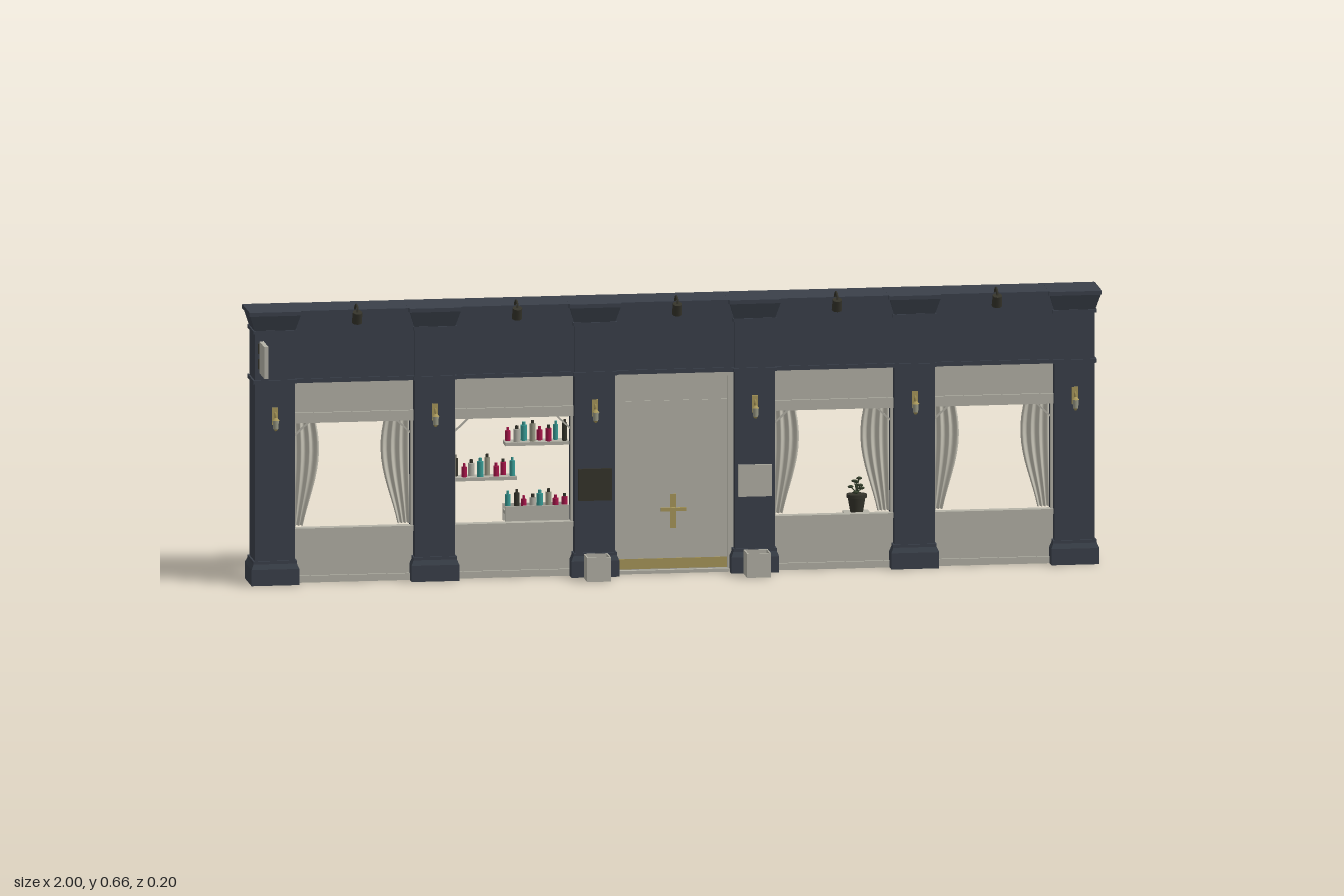
import * as THREE from 'three';

const mat = (name, color, side = THREE.FrontSide) => {
  const m = new THREE.MeshStandardMaterial({ color, side });
  m.name = name;
  return m;
};

export function createModel() {
  const navy = mat('navy paint', 0x3a404a, THREE.DoubleSide);
  const stone = mat('warm grey paint', 0xb4b2a7);
  const cloth = mat('curtain cloth', 0xc2bfb2, THREE.DoubleSide);
  const brass = mat('brass', 0xa8975a);
  const iron = mat('dark iron', 0x35342b);
  const glass = mat('lantern glass', 0x9a9a86);
  const crimson = mat('crimson', 0xa8154a);
  const teal = mat('teal', 0x379a94);
  const leaf = mat('leaf green', 0x35402c, THREE.DoubleSide);

  const root = new THREE.Group();
  const group = (name, x = 0, parent = root) => {
    const g = new THREE.Group();
    g.name = name;
    g.position.x = x;
    parent.add(g);
    return g;
  };
  const add = (parent, name, geo, m, x = 0, y = 0, z = 0) => {
    const mesh = new THREE.Mesh(geo, m);
    mesh.name = name;
    mesh.position.set(x, y, z);
    parent.add(mesh);
    return mesh;
  };
  // box given by its limits on each axis
  const box = (parent, name, m, x0, x1, y0, y1, z0, z1) =>
    add(parent, name, new THREE.BoxGeometry(x1 - x0, y1 - y0, z1 - z0), m,
      (x0 + x1) / 2, (y0 + y1) / 2, (z0 + z1) / 2);
  const tube = (parent, name, m, pts, r) =>
    add(parent, name, new THREE.TubeGeometry(
      new THREE.CatmullRomCurve3(pts.map(p => new THREE.Vector3(...p))), 14, r, 6), m);

  // Pillar shell, open at the back: [height, outward offset] rows
  const profile = [[0, 0.009], [0.038, 0.009], [0.05, 0.004], [0.057, 0.004], [0.057, 0],
    [0.474, 0], [0.474, 0.004], [0.483, 0.004], [0.483, 0], [0.592, 0], [0.592, 0.004],
    [0.6, 0.004], [0.6, 0.001], [0.636, 0.012], [0.636, 0.015], [0.645, 0.015]];
  const section = o => [[0.047 + o, -0.082 - o], [0.047 + o, 0.008 + o],
    [-0.047 - o, 0.008 + o], [-0.047 - o, -0.082 - o]];
  const pos = [];
  for (let i = 0; i < profile.length - 1; i++) {
    const [y0, o0] = profile[i], [y1, o1] = profile[i + 1];
    const a = section(o0), b = section(o1);
    for (let k = 0; k < 3; k++) {
      const p = [[a[k][0], y0, a[k][1]], [a[k + 1][0], y0, a[k + 1][1]],
        [b[k + 1][0], y1, b[k + 1][1]], [b[k][0], y1, b[k][1]]];
      for (const j of [0, 2, 1, 0, 3, 2]) pos.push(...p[j]);
    }
  }
  const pillarGeo = new THREE.BufferGeometry();
  pillarGeo.setAttribute('position', new THREE.Float32BufferAttribute(pos, 3));
  pillarGeo.computeVertexNormals();

  // Wall lantern on each pillar
  const lantern = parent => {
    const g = group('wallLantern', 0, parent);
    box(g, 'backPlate', brass, -0.007, 0.007, 0.378, 0.418, 0.008, 0.011);
    tube(g, 'hook', brass, [[0, 0.39, 0.01], [0, 0.401, 0.013], [0, 0.408, 0.018],
      [0, 0.403, 0.021], [0, 0.393, 0.021]], 0.002);
    add(g, 'cap', new THREE.CylinderGeometry(0.003, 0.009, 0.006, 10), brass, 0, 0.393, 0.021);
    add(g, 'glass', new THREE.CylinderGeometry(0.0075, 0.006, 0.02, 10), glass, 0, 0.38, 0.021);
    add(g, 'finial', new THREE.CylinderGeometry(0.006, 0.002, 0.005, 10), brass, 0, 0.3675, 0.021);
  };

  for (const i of [-2.5, -1.5, -0.5, 0.5, 1.5, 2.5]) {
    const p = group('pillar', i * 0.375);
    add(p, 'pillarShell', pillarGeo, navy);
    box(p, 'capitalTop', navy, -0.061, 0.061, 0.64, 0.6452, -0.097, 0.023);
    lantern(p);
  }

  // Continuous cornice and frieze
  box(root, 'roofSlab', navy, -0.97, 0.97, 0.633, 0.645, -0.097, 0.012);
  box(root, 'frieze', navy, -0.95, 0.95, 0.478, 0.635, -0.02, 0.002);
  box(root, 'friezeMoulding', navy, -0.95, 0.95, 0.474, 0.484, -0.02, 0.006);

  // Gooseneck lamp above each bay
  const overheadLamp = x => {
    const g = group('overheadLamp', x);
    tube(g, 'gooseneck', iron, [[0, 0.638, 0.004], [0, 0.65, 0.012], [0, 0.659, 0.024],
      [0, 0.66, 0.037], [0, 0.655, 0.047], [0, 0.645, 0.05]], 0.0025);
    const shade = add(g, 'lampShade', new THREE.CylinderGeometry(0.011, 0.012, 0.027, 14),
      iron, 0, 0.633, 0.046);
    shade.rotation.x = 0.35;
  };

  // Pleated curtain, gathered near the foot
  const curtainGeo = side => {
    const geo = new THREE.PlaneGeometry(1, 1, 24, 16);
    const p = geo.attributes.position;
    for (let i = 0; i < p.count; i++) {
      const u = 0.5 + p.getX(i), t = 0.5 + p.getY(i);
      const w = 0.022 + 0.045 * Math.pow(Math.sin(Math.PI * (0.12 + 0.73 * t)), 2);
      p.setXYZ(i, side * (0.139 - u * w), 0.125 + 0.345 * t,
        -0.068 + 0.007 * Math.sin(u * 22) - 0.011 * Math.sin(Math.PI * t) * t);
    }
    geo.computeVertexNormals();
    return geo;
  };

  const windowBay = (x, curtains) => {
    const g = group('windowBay', x);
    box(g, 'bulkhead', stone, -0.142, 0.142, 0, 0.122, -0.03, -0.018);
    box(g, 'plinth', stone, -0.142, 0.142, 0, 0.016, -0.03, -0.012);
    box(g, 'sill', stone, -0.142, 0.142, 0.116, 0.128, -0.034, -0.01);
    box(g, 'floor', stone, -0.142, 0.142, 0, 0.004, -0.088, -0.02);
    box(g, 'transom', stone, -0.142, 0.142, 0.38, 0.48, -0.03, -0.018);
    box(g, 'transomRail', stone, -0.142, 0.142, 0.376, 0.4, -0.032, -0.012);
    for (const s of [-1, 1]) {
      box(g, 'jamb', stone, s * 0.139 - 0.004, s * 0.139 + 0.004, 0.12, 0.38, -0.03, -0.018);
      const brace = box(g, 'cornerBrace', stone, -0.028, 0.028, -0.002, 0.002, -0.002, 0.002);
      brace.position.set(s * 0.119, 0.36, -0.03);
      brace.rotation.z = -s * 0.75;
      if (curtains) add(g, 'curtain', curtainGeo(s), cloth);
    }
    return g;
  };

  for (const i of [-2, -1, 0, 1, 2]) overheadLamp(i * 0.375);
  windowBay(-0.75, true);
  windowBay(0.75, true);
  const shopBay = windowBay(-0.375, false);
  const plantBay = windowBay(0.375, true);

  // Shelves with bottles and jars
  const goods = [crimson, crimson, teal, iron, crimson, stone, teal, glass];
  const shelf = (x0, x1, y, n, shift) => {
    const g = group('displayShelf', 0, shopBay);
    box(g, 'board', stone, x0, x1, y - 0.008, y, -0.082, -0.04);
    for (let i = 0; i < n; i++) {
      const k = (i * 5 + shift) % 8, h = 0.024 + 0.006 * (k % 4), r = 0.006 + 0.001 * (k % 3);
      const x = x0 + (x1 - x0) * (i + 0.5) / n, z = -0.06 + 0.008 * (i % 2 ? 1 : -1);
      add(g, 'bottle', new THREE.CylinderGeometry(r, r, h, 10), goods[k], x, y + h / 2, z);
      add(g, 'bottleCap', new THREE.CylinderGeometry(r * 0.5, r * 0.5, 0.008, 8),
        k % 2 ? iron : goods[k], x, y + h + 0.004, z);
    }
  };
  shelf(-0.015, 0.135, 0.312, 8, 0);
  shelf(-0.138, 0.012, 0.232, 8, 3);
  shelf(-0.015, 0.135, 0.15, 8, 6);
  box(shopBay, 'displayBin', stone, -0.015, 0.135, 0.122, 0.162, -0.044, -0.04);
  box(shopBay, 'displayBin', stone, -0.015, 0.135, 0.122, 0.162, -0.084, -0.08);

  // Potted plant on a ledge
  const plant = group('pottedPlant', 0.06, plantBay);
  box(plant, 'ledge', stone, -0.03, 0.03, 0.12, 0.126, -0.075, -0.03);
  add(plant, 'pot', new THREE.CylinderGeometry(0.021, 0.015, 0.036, 14), iron, 0, 0.144, -0.052);
  add(plant, 'potRim', new THREE.CylinderGeometry(0.024, 0.024, 0.008, 14), iron, 0, 0.164, -0.052);
  for (let i = 0; i < 7; i++) {
    const a = i * 2.4, r = 0.006 + 0.002 * i, h = 0.205 - 0.005 * i;
    tube(plant, 'stem', leaf, [[0, 0.165, -0.052],
      [Math.cos(a) * r * 0.3, (0.165 + h) / 2, -0.052 + Math.sin(a) * r * 0.3],
      [Math.cos(a) * r, h, -0.052 + Math.sin(a) * r]], 0.0015);
    const l = add(plant, 'leaf', new THREE.SphereGeometry(0.007, 8, 6), leaf,
      Math.cos(a) * r, h, -0.052 + Math.sin(a) * r);
    l.scale.set(1, 0.5, 0.7);
  }

  // Entrance door
  const door = group('entrance');
  box(door, 'door', stone, -0.128, 0.128, 0.008, 0.462, -0.034, -0.022);
  for (const s of [-1, 1])
    box(door, 'doorPost', stone, s * 0.135 - 0.007, s * 0.135 + 0.007, 0, 0.478, -0.036, -0.014);
  box(door, 'doorHead', stone, -0.142, 0.142, 0.462, 0.48, -0.036, -0.014);
  box(door, 'doorRail', stone, -0.128, 0.128, 0.4, 0.406, -0.036, -0.02);
  box(door, 'threshold', stone, -0.142, 0.142, 0, 0.008, -0.088, -0.01);
  for (const z of [-0.021, -0.035])
    box(door, 'kickPlate', brass, -0.126, 0.126, 0.01, 0.034, z - 0.001, z + 0.001);
  box(door, 'handlePlate', brass, -0.007, 0.007, 0.105, 0.185, -0.023, -0.019);
  box(door, 'handleBar', brass, -0.03, 0.03, 0.146, 0.154, -0.016, -0.009);
  box(door, 'handleStem', brass, -0.004, 0.004, 0.146, 0.154, -0.02, -0.01);
  box(door, 'innerHandle', iron, -0.003, 0.003, 0.11, 0.19, -0.046, -0.041);
  for (const y of [0.12, 0.18])
    box(door, 'innerHandleStem', iron, -0.002, 0.002, y - 0.002, y + 0.002, -0.042, -0.033);

  // Plaques and planters beside the door
  for (const s of [-1, 1]) {
    const side = group('doorSide', s * 0.1875);
    box(side, 'plaque', s < 0 ? iron : stone, -0.039, 0.039, 0.18, 0.255, 0.007, 0.014);
    box(side, 'plaqueBacking', brass, -0.03, 0.03, 0.185, 0.25, 0.002, 0.006);
    const c = group('planter', 0, side);
    box(c, 'planterBase', stone, -0.028, 0.028, 0, 0.045, 0.022, 0.077);
    box(c, 'planterSoil', glass, -0.025, 0.025, 0.045, 0.048, 0.025, 0.074);
    for (const k of [-1, 1]) {
      box(c, 'planterRim', stone, k * 0.0265 - 0.0015, k * 0.0265 + 0.0015, 0.045, 0.057, 0.022, 0.077);
      box(c, 'planterRim', stone, -0.028, 0.028, 0.045, 0.057,
        k < 0 ? 0.022 : 0.074, k < 0 ? 0.025 : 0.077);
    }
  }

  // Projecting blade sign
  const sign = group('bladeSign', -0.971);
  box(sign, 'signBoard', stone, -0.005, 0.005, 0.503, 0.578, 0.023, 0.1);
  for (const y of [0.522, 0.558]) {
    box(sign, 'signArm', iron, -0.003, 0.003, y - 0.003, y + 0.003, 0.008, 0.026);
    box(sign, 'signMount', iron, -0.006, 0.006, y - 0.012, y + 0.012, 0.007, 0.013);
  }
  return root;
}
